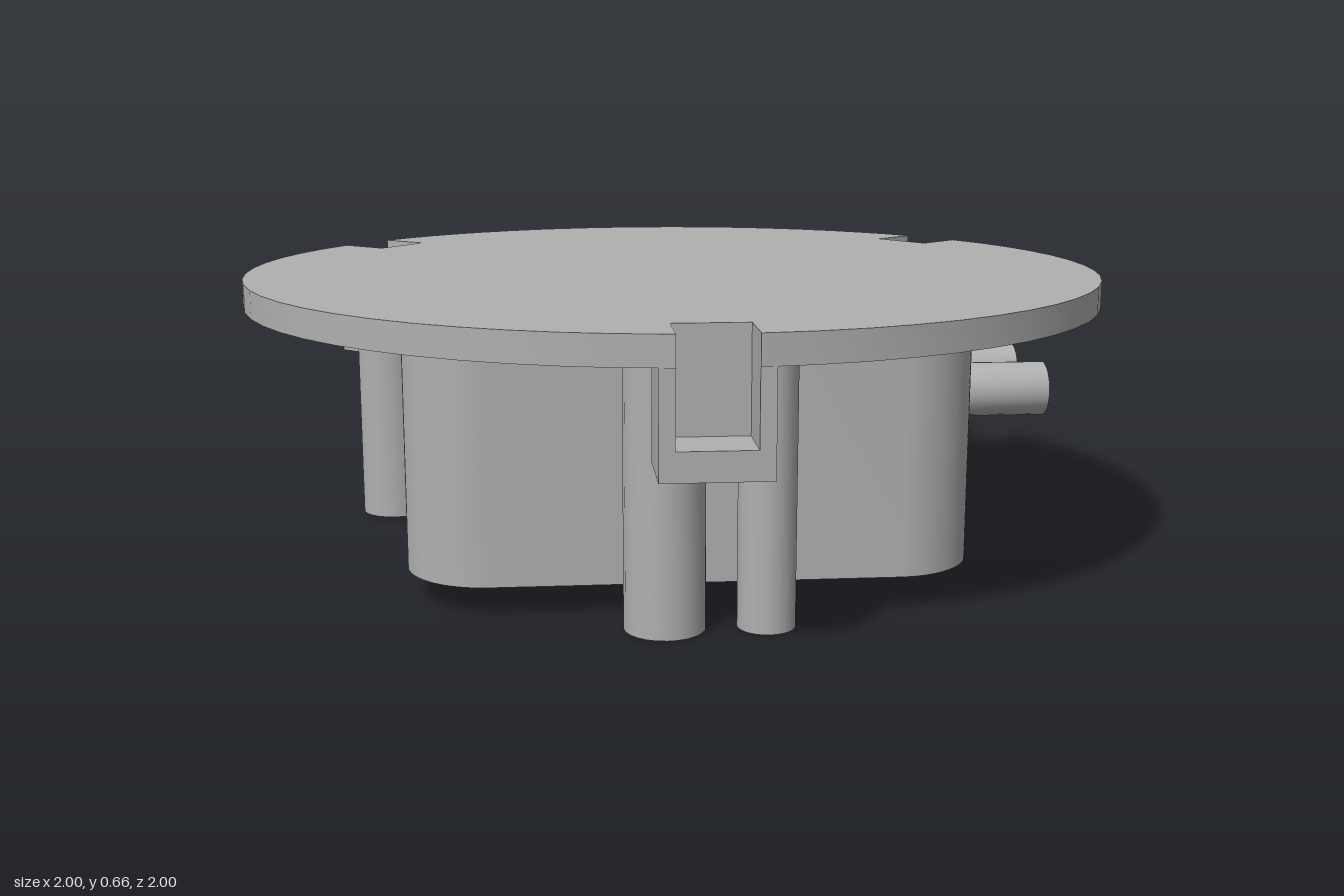
import * as THREE from 'three';
import { toCreasedNormals } from 'three/addons/utils/BufferGeometryUtils.js';

const grey = new THREE.MeshStandardMaterial({ color: 0xb0b0b0 });
grey.name = 'grey';

const UNDER = 0.597, TOP = 0.66;        // faces of the round plate
const HALF = 0.615, WALL = 0.05, CORNER = 0.18; // housing plan

function mesh(name, geometry) {
  const m = new THREE.Mesh(geometry, grey);
  m.name = name;
  return m;
}

function extrude(shape, depth, curveSegments = 12) {
  return new THREE.ExtrudeGeometry(shape, { depth, curveSegments, bevelEnabled: false });
}

// Plan shapes use (x, -z) and rise from y0 to y1
function rise(shape, y0, y1, curveSegments) {
  const g = extrude(shape, y1 - y0, curveSegments).rotateX(-Math.PI / 2).translate(0, y0, 0);
  return toCreasedNormals(g, 0.6);
}

// Side shapes use (-z, y) and run from x0 to x1
function across(shape, x0, x1) {
  const g = extrude(shape, x1 - x0).rotateY(Math.PI / 2).translate(x0, 0, 0);
  return toCreasedNormals(g, 0.6);
}

function ring(cx, cy, outer, inner) {
  const s = new THREE.Shape().absarc(cx, cy, outer, 0, Math.PI * 2, false);
  s.holes.push(new THREE.Path().absarc(cx, cy, inner, 0, Math.PI * 2, true));
  return s;
}

function polygon(points) {
  return new THREE.Shape(points.map(([x, y]) => new THREE.Vector2(x, y)));
}

// Directions of the three edge notches, measured from +x towards -z
const NOTCHES = [38.5, 141.5, 270].map(THREE.MathUtils.degToRad);
const NOTCH_HALF = 0.078, NOTCH_DEEP = 0.87;

function plate() {
  const s = new THREE.Shape();
  const half = Math.asin(NOTCH_HALF);
  NOTCHES.forEach((a, i) => {
    const next = i < 2 ? NOTCHES[i + 1] : NOTCHES[0] + Math.PI * 2;
    const at = (r, t) => [r * Math.cos(a) - t * Math.sin(a), r * Math.sin(a) + t * Math.cos(a)];
    const p = at(NOTCH_DEEP, -NOTCH_HALF), q = at(NOTCH_DEEP, NOTCH_HALF);
    if (i === 0) s.moveTo(...p);
    else s.lineTo(...p);
    s.lineTo(...q);
    s.absarc(0, 0, 1, a + half, next - half, false);
  });
  s.closePath();
  return mesh('roundPlate', rise(s, UNDER, TOP, 10));
}

// Pocket below a notch, open outward, with a short stub beside it
function pocket(angle, side) {
  const g = new THREE.Group();
  g.name = 'edgePocket';
  const w = 0.11, n = NOTCH_HALF, out = 0.992;
  const walls = polygon([[-w, -out], [-n, -out], [-n, -NOTCH_DEEP], [n, -NOTCH_DEEP],
    [n, -out], [w, -out], [w, -0.82], [-w, -0.82]]);
  g.add(mesh('pocketWalls', rise(walls, 0.44, UNDER)));
  const floor = new THREE.BoxGeometry(2 * w, 0.06, out - 0.82);
  g.add(mesh('pocketFloor', floor.translate(0, 0.41, (out + 0.82) / 2)));
  g.add(mesh('pocketStub', rise(ring(0.08 * side, -0.815, 0.045, 0.022), 0.44, UNDER)));
  g.rotation.y = angle + Math.PI / 2;
  return g;
}

function housing() {
  const g = new THREE.Group();
  g.name = 'housing';
  const c = HALF - CORNER, inner = HALF - WALL, y0 = 0.067;

  // Rounded wall on three sides, leaving the +x side for the pierced panel
  const s = new THREE.Shape().moveTo(HALF, c);
  const corners = [[c, c], [-c, c], [-c, -c], [c, -c]];
  corners.forEach(([x, y], i) =>
    s.absarc(x, y, CORNER, i * Math.PI / 2, (i + 1) * Math.PI / 2, false));
  s.lineTo(inner, -c);
  for (let i = 3; i >= 0; i--) {
    s.absarc(...corners[i], CORNER - WALL, (i + 1) * Math.PI / 2, i * Math.PI / 2, true);
  }
  s.closePath();
  g.add(mesh('housingWall', rise(s, y0, UNDER)));

  // Panel with a window and two bores
  const panel = polygon([[-c, y0], [c, y0], [c, UNDER], [-c, UNDER]]);
  panel.holes.push(polygon([[-0.365, 0.125], [-0.365, 0.285], [-0.05, 0.285], [-0.05, 0.125]]));
  for (const z of [0.3, 0.05]) {
    panel.holes.push(new THREE.Path().absarc(-z, 0.41, 0.035, 0, Math.PI * 2, true));
    g.add(mesh('sideTube', across(ring(-z, 0.41, 0.061, 0.035), HALF - 0.005, 0.825)));
  }
  g.add(mesh('windowPanel', across(panel, inner, HALF)));
  return g;
}

export function createModel() {
  const model = new THREE.Group();
  model.name = 'housingWithRoundPlate';
  model.add(plate(), housing());
  NOTCHES.forEach((a, i) => model.add(pocket(a, i === 0 ? -1 : 1)));

  // Hollow posts: three wide, two slim
  for (const [x, z] of [[-0.695, -0.285], [0.695, -0.285], [-0.075, 0.7]]) {
    model.add(mesh('widePost', rise(ring(x, -z, 0.085, 0.05), 0, UNDER)));
  }
  for (const [x, z] of [[0.135, 0.705], [-0.11, -0.7]]) {
    model.add(mesh('slimPost', rise(ring(x, -z, 0.061, 0.03), 0, UNDER)));
    // Rib joining the slim post to the housing
    const rib = new THREE.BoxGeometry(0.07, UNDER - 0.067, 0.05);
    model.add(mesh('postRib', rib.translate(x, (UNDER + 0.067) / 2, Math.sign(z) * 0.635)));
  }
  return model;
}
